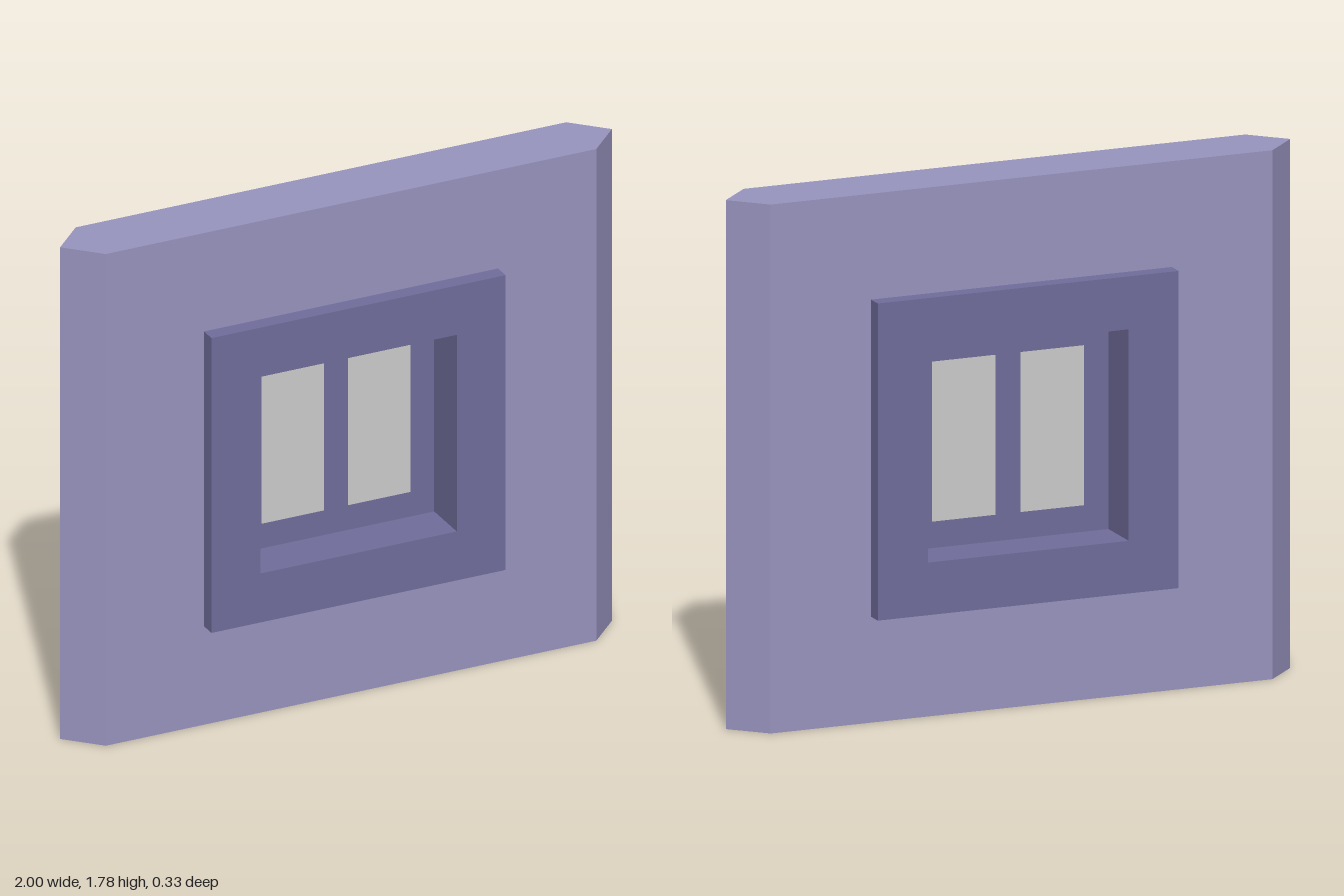
import * as THREE from 'three';

const WALL = 0x9894bf, FRAME = 0x706d9b;

// Points of a rectangle from its corners
const rect = (x0, y0, x1, y1) => [[x0, y0], [x1, y0], [x1, y1], [x0, y1]].map(([x, y]) => new THREE.Vector2(x, y));

// Rectangle with rectangular holes
function panel(outer, holes) {
  const shape = new THREE.Shape(rect(...outer));
  for (const h of holes) shape.holes.push(new THREE.Path(rect(...h).reverse()));
  return shape;
}

// Extrusion centred on z = 0
function slab(shape, depth, steps = 1) {
  return new THREE.ExtrudeGeometry(shape, { depth, steps, bevelEnabled: false }).translate(0, 0, -depth / 2);
}

export function createModel() {
  const group = new THREE.Group();
  const add = (name, geometry, color, side = THREE.FrontSide) => {
    const mesh = new THREE.Mesh(geometry, new THREE.MeshStandardMaterial({ color, side }));
    mesh.name = name;
    group.add(mesh);
  };

  const frameOuter = [-0.533, 0.356, 0.533, 1.422];
  const opening = [-0.356, 0.533, 0.356, 1.244];
  const panes = [[-0.27, 0.622, -0.044, 1.16], [0.044, 0.622, 0.27, 1.16]];

  // Wall: the outer end edges are pulled in so each end comes to a ridge
  const wall = slab(panel([-1, 0, 1, 1.778], [frameOuter]), 0.222, 2);
  const p = wall.attributes.position;
  for (let i = 0; i < p.count; i++) {
    if (Math.abs(p.getX(i)) > 0.9 && Math.abs(p.getZ(i)) > 0.1) p.setX(i, Math.sign(p.getX(i)) * 0.889);
  }
  wall.computeVertexNormals();
  add('wall', wall, WALL);

  // Window frame stands proud on both faces and lines the opening
  add('windowFrame', slab(panel(frameOuter, [opening]), 0.333), FRAME);

  // Thin sash in the middle of the opening, with two flush panes
  add('windowSash', new THREE.ShapeGeometry(panel(opening, panes)), FRAME, THREE.DoubleSide);
  panes.forEach((r, i) => {
    add(i ? 'leftPane' : 'rightPane', new THREE.ShapeGeometry(panel(r, [])), 0xcccccc, THREE.DoubleSide);
  });

  return group;
}
